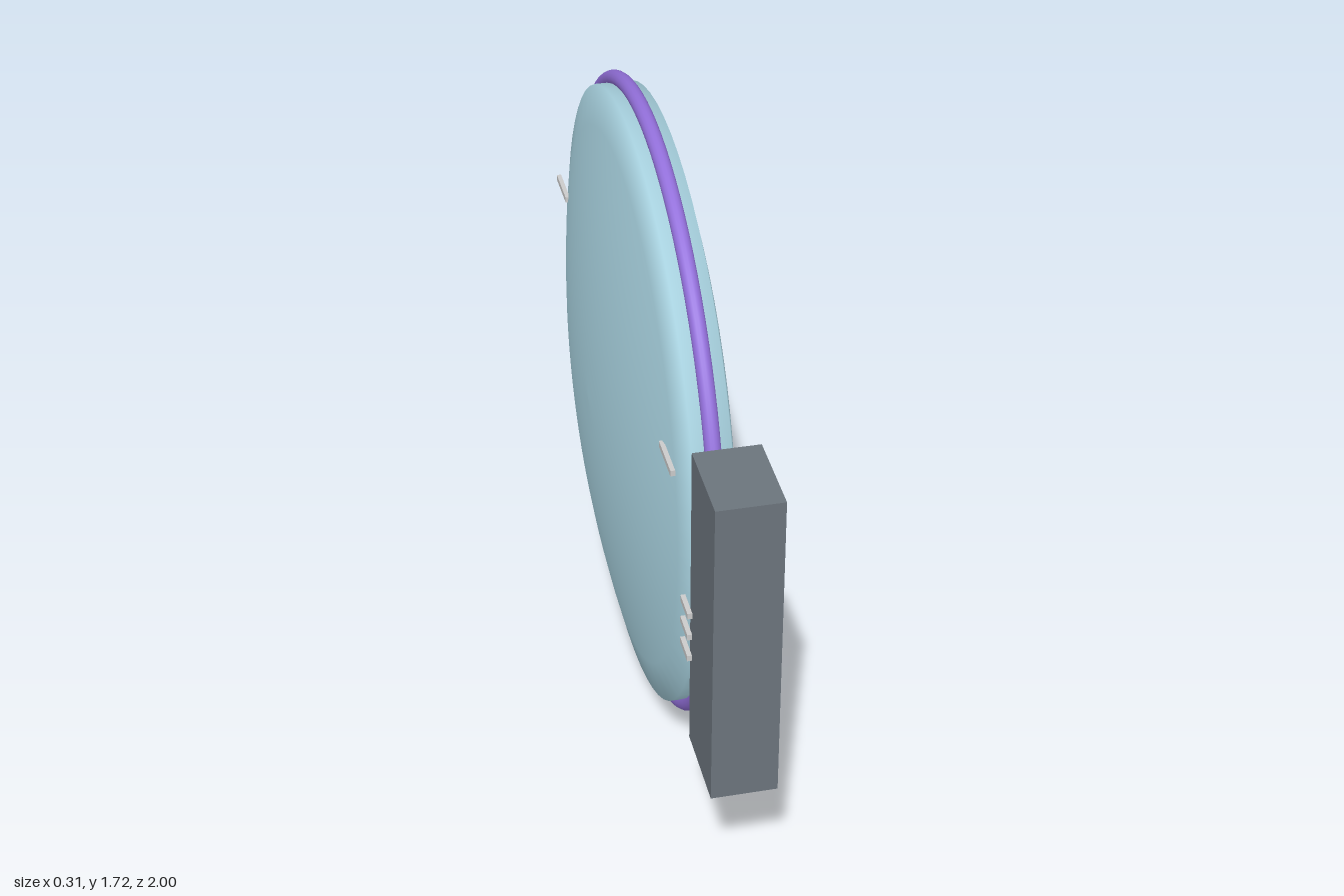
import * as THREE from 'three';

const CY = 0.862, CZ = -0.14; // disc centre

export function createModel() {
  const model = new THREE.Group();
  const blue = new THREE.MeshStandardMaterial({ color: 0xadd8e6 });
  const purple = new THREE.MeshStandardMaterial({ color: 0x9370db });
  const slate = new THREE.MeshStandardMaterial({ color: 0x6c757d });
  const grey = new THREE.MeshStandardMaterial({ color: 0xcccccc });

  const add = (name, geometry, material, x, y, z) => {
    const mesh = new THREE.Mesh(geometry, material);
    mesh.name = name;
    mesh.position.set(x, y, z);
    model.add(mesh);
    return mesh;
  };

  // Lens: two shallow domes joined by a narrow straight rim
  const radius = 0.828, rimHalf = 0.05, bulge = 0.106, steps = 8;
  const dome = [];
  for (let i = 0; i <= steps; i++) {
    const t = i / steps;
    dome.push(new THREE.Vector2(radius * t, rimHalf + bulge * (1 - t * t)));
  }
  const lower = dome.map((p) => new THREE.Vector2(p.x, -p.y));
  const profile = [...lower, ...dome.reverse()];
  add('lens', new THREE.LatheGeometry(profile, 64), blue, 0, CY, CZ).rotation.z = Math.PI / 2;

  // Ring around the lens
  add('rimRing', new THREE.TorusGeometry(0.84, 0.021, 16, 96), purple, 0, CY, CZ).rotation.y = Math.PI / 2;

  // Upright block in front of the disc
  add('block', new THREE.BoxGeometry(0.168, 0.87, 0.234), slate, 0, 0.865, 0.883);

  // Thin dashes beside the lens, one near each edge
  for (const side of [-1, 1]) {
    add('lensDash', new THREE.BoxGeometry(0.012, 0.016, 0.13), grey, -0.09, 1.122, CZ + side * 0.67);
  }

  // Three short bars beside the block
  for (const i of [-1, 0, 1]) {
    add('blockBar', new THREE.BoxGeometry(0.012, 0.016, 0.075), grey, -0.12, 0.872 + i * 0.064, 0.876);
  }

  return model;
}
